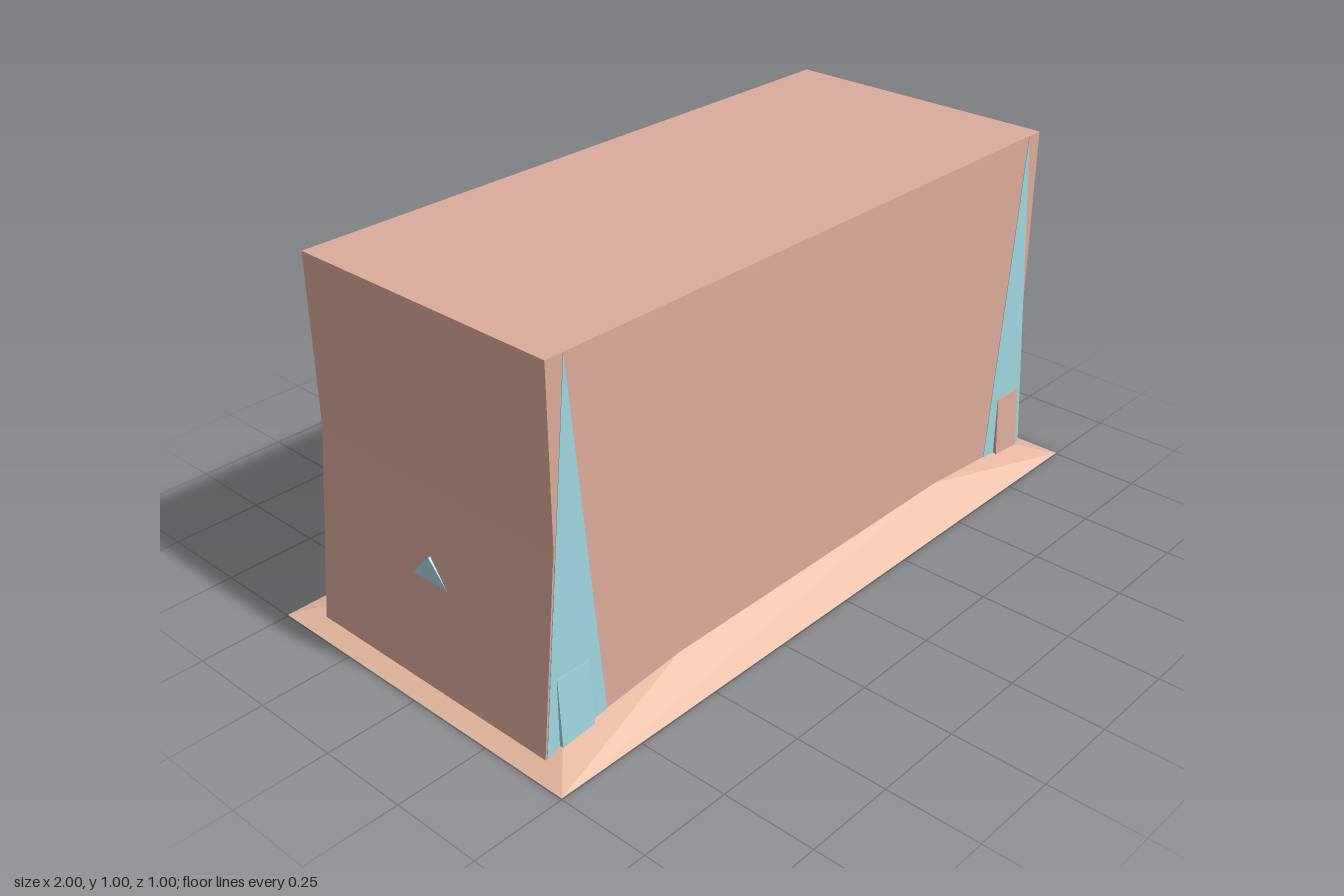
import * as THREE from 'three';
import { ConvexGeometry } from 'three/addons/geometries/ConvexGeometry.js';

const material = (color) => new THREE.MeshStandardMaterial({ color, flatShading: true });

// Straight prism from a 2D outline, centred along its depth axis
function prism(points, depth) {
  const shape = new THREE.Shape(points.map(([x, y]) => new THREE.Vector2(x, y)));
  return new THREE.ExtrudeGeometry(shape, { depth, bevelEnabled: false }).translate(0, 0, -depth / 2);
}

// Same, with the outline given as [z, y] and the depth running along x
const sidePrism = (points, depth) => prism(points, depth).rotateY(-Math.PI / 2);

export function createModel() {
  const group = new THREE.Group();
  const salmon = material(0xdcab9b);
  const blue = material(0xa0d6e0);
  const sand = material(0xe6b79f);

  const add = (name, geometry, mat) => {
    const mesh = new THREE.Mesh(geometry, mat);
    mesh.name = name;
    group.add(mesh);
    return mesh;
  };

  // Main block
  add('body', new THREE.BoxGeometry(1.8, 0.99, 0.8).translate(0, 0.505, 0), salmon);

  // Sloping skirt, highest along the middle of the long sides
  const skirt = [];
  for (const sx of [-1, 1]) {
    for (const sz of [-1, 1]) {
      skirt.push(
        new THREE.Vector3(sx, 0.003, sz * 0.5),
        new THREE.Vector3(sx * 0.52, 0.075, sz * 0.4),
        new THREE.Vector3(sx * 0.9, 0.041, sz * 0.4),
      );
    }
  }
  add('skirt', new ConvexGeometry(skirt), sand);

  // Underside panel with tabs below the corner blocks
  add('underside', new THREE.BoxGeometry(1.86, 0.01, 0.8).translate(0, 0.005, 0), blue);

  for (const sx of [-1, 1]) {
    // Tapered buttress running through the block from front to back
    const foot = sx > 0 ? 0.944 : 0.95;
    add('buttress', prism([[sx * 0.85, 0.998], [sx * 0.757, 0.01], [sx * foot, 0.01]], 0.803), blue);

    // Pointed marker standing out of each sloping end
    const marker = sidePrism([[-0.15, 0.2], [0.15, 0.2], [0, 0.365]], 0.05);
    add('endMarker', marker.translate(sx * 0.9, 0, 0), blue);

    // Leaning corner blocks
    for (const sz of [-1, 1]) {
      const top = sz > 0 ? 0.22 : 0.28;
      const outline = [[sz * 0.38, 0.02], [sz * 0.413, 0.02], [sz * 0.403, top], [sz * 0.38, top]];
      add('cornerBlock', sidePrism(outline, 0.1).translate(sx * 0.86, 0, 0), sx > 0 ? salmon : blue);
      add('undersideTab', new THREE.BoxGeometry(0.1, 0.01, 0.03).translate(sx * 0.86, 0.005, sz * 0.4), blue);
    }
  }

  // Sloping cover over the buttress at the right end
  add('rightEndCover', prism([[-0.899, 0.56], [-0.953, 0.02], [-0.88, 0.02], [-0.88, 0.56]], 0.799), salmon);

  return group;
}
